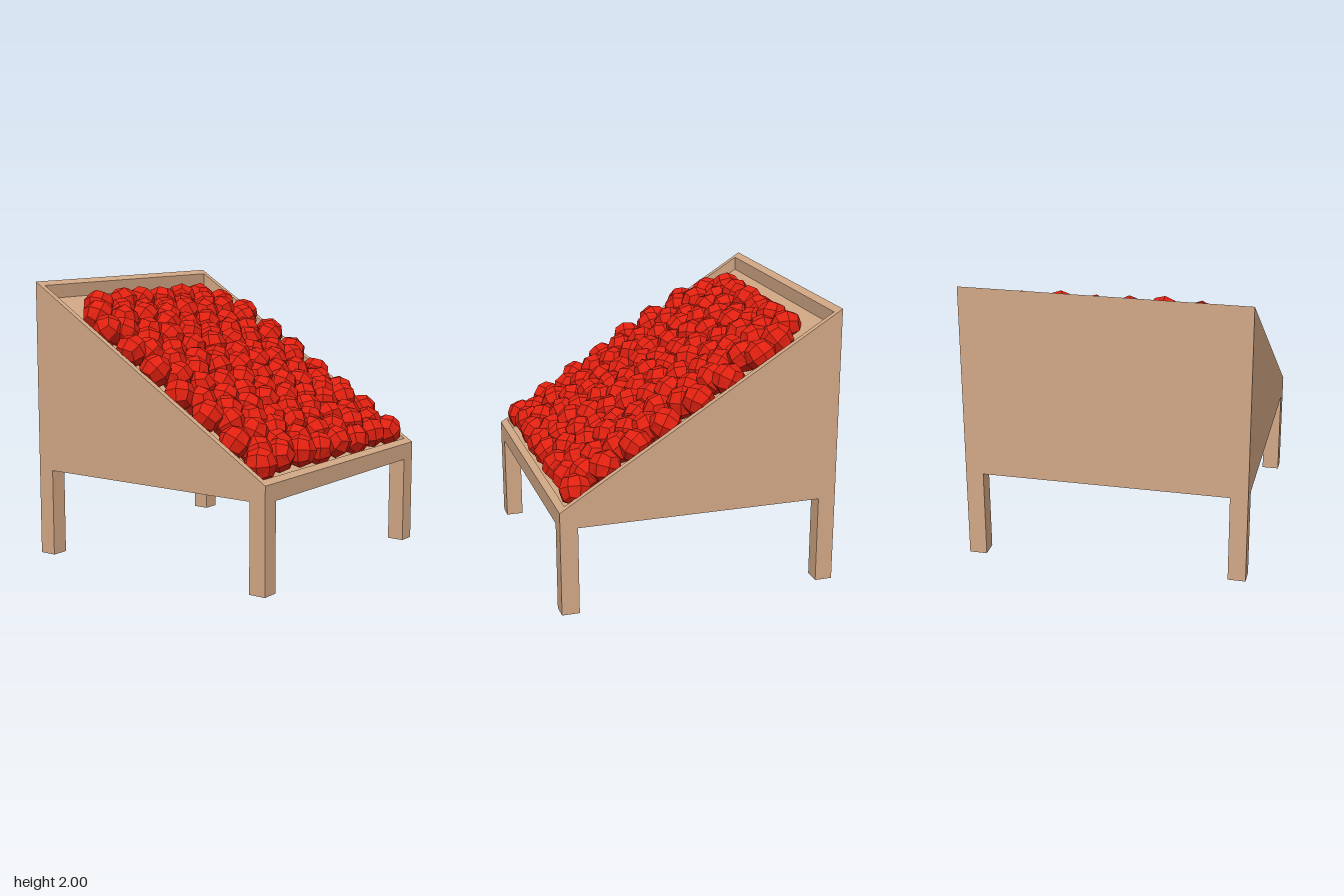
import * as THREE from 'three';

const wood = new THREE.MeshStandardMaterial({ color: 0xd2a886, flatShading: true });
const red = new THREE.MeshStandardMaterial({ color: 0xe02010, flatShading: true });

const BASE = 0.63, LEG = 0.125, INNER = 0.955, DEPTH = 0.097;
const rimHeight = (x) => 1.375 - 0.625 * x; // sloping top edge

function seeded(seed) {
  return () => (seed = (seed * 16807) % 2147483647) / 2147483647;
}

// Sloped box with a sunken tray: lofted through four square rings
function crateGeometry() {
  const rings = [
    { size: 1, y: () => BASE },
    { size: 1, y: rimHeight },
    { size: INNER, y: rimHeight },
    { size: INNER, y: (x) => rimHeight(x) - DEPTH },
  ];
  const corners = [[1, 1], [1, -1], [-1, -1], [-1, 1]];
  const points = [], index = [];
  for (const { size, y } of rings)
    for (const [cx, cz] of corners) points.push(cx * size, y(cx * size), cz * size);
  for (let r = 0; r < rings.length - 1; r++)
    for (let i = 0; i < 4; i++) {
      const a = r * 4 + i, b = r * 4 + ((i + 1) % 4);
      index.push(a, b, b + 4, a, b + 4, a + 4);
    }
  index.push(0, 2, 1, 0, 3, 2); // underside
  index.push(12, 13, 14, 12, 14, 15); // tray floor
  const geometry = new THREE.BufferGeometry();
  geometry.setAttribute('position', new THREE.Float32BufferAttribute(points, 3));
  geometry.setIndex(index);
  geometry.computeVertexNormals();
  return geometry;
}

// Faceted ball: a 2 x 2 subdivided cube pushed out to a sphere
function fruitGeometry(radius) {
  const geometry = new THREE.BoxGeometry(1, 1, 1, 2, 2, 2);
  const p = geometry.attributes.position, v = new THREE.Vector3();
  for (let i = 0; i < p.count; i++) {
    v.fromBufferAttribute(p, i).setLength(radius);
    p.setXYZ(i, v.x, v.y, v.z);
  }
  geometry.computeVertexNormals();
  return geometry;
}

export function createModel() {
  const model = new THREE.Group();
  model.name = 'fruitStand';

  const crate = new THREE.Mesh(crateGeometry(), wood);
  crate.name = 'crate';
  model.add(crate);

  // Four square legs flush with the corners
  const legGeometry = new THREE.BoxGeometry(LEG, BASE, LEG);
  for (const sx of [-1, 1])
    for (const sz of [-1, 1]) {
      const leg = new THREE.Mesh(legGeometry, wood);
      leg.name = `${sz > 0 ? 'front' : 'back'}${sx > 0 ? 'Left' : 'Right'}Leg`;
      leg.position.set(sx * (1 - LEG / 2), BASE / 2, sz * (1 - LEG / 2));
      model.add(leg);
    }

  // Staggered rows of fruit heaped along the slope
  const pile = new THREE.Group();
  pile.name = 'fruitPile';
  model.add(pile);
  const random = seeded(417);
  const jitter = (amount) => (random() * 2 - 1) * amount;
  const geometry = fruitGeometry(0.118);
  const limit = 0.855;
  const addFruit = (x, z) => {
    const fruit = new THREE.Mesh(geometry, red);
    fruit.name = 'fruit';
    const px = THREE.MathUtils.clamp(x + jitter(0.015), -0.75, limit);
    const pz = THREE.MathUtils.clamp(z + jitter(0.015), -limit, limit);
    // the heap thins out towards its upper edge
    const lift = px < -0.6 ? -0.025 : 0.015;
    fruit.position.set(px, rimHeight(px) + lift + jitter(0.015), pz);
    fruit.rotation.set(random() * 6.28, random() * 6.28, random() * 6.28);
    pile.add(fruit);
  };
  for (let j = 0; j < 8; j++) {
    const z = -0.85 + 0.243 * j;
    const edge = j === 0 || j === 7; // outer rows start lower down
    const count = edge ? 7 : 8, start = edge ? -0.46 : -0.745;
    for (let i = 0; i < count; i++)
      addFruit(start + (i * (limit - start)) / (count - 1), z);
    if (j < 7)
      for (let i = 0; i < 7; i++) addFruit(-0.63 + 0.229 * i, z + 0.1215);
  }
  return model;
}
